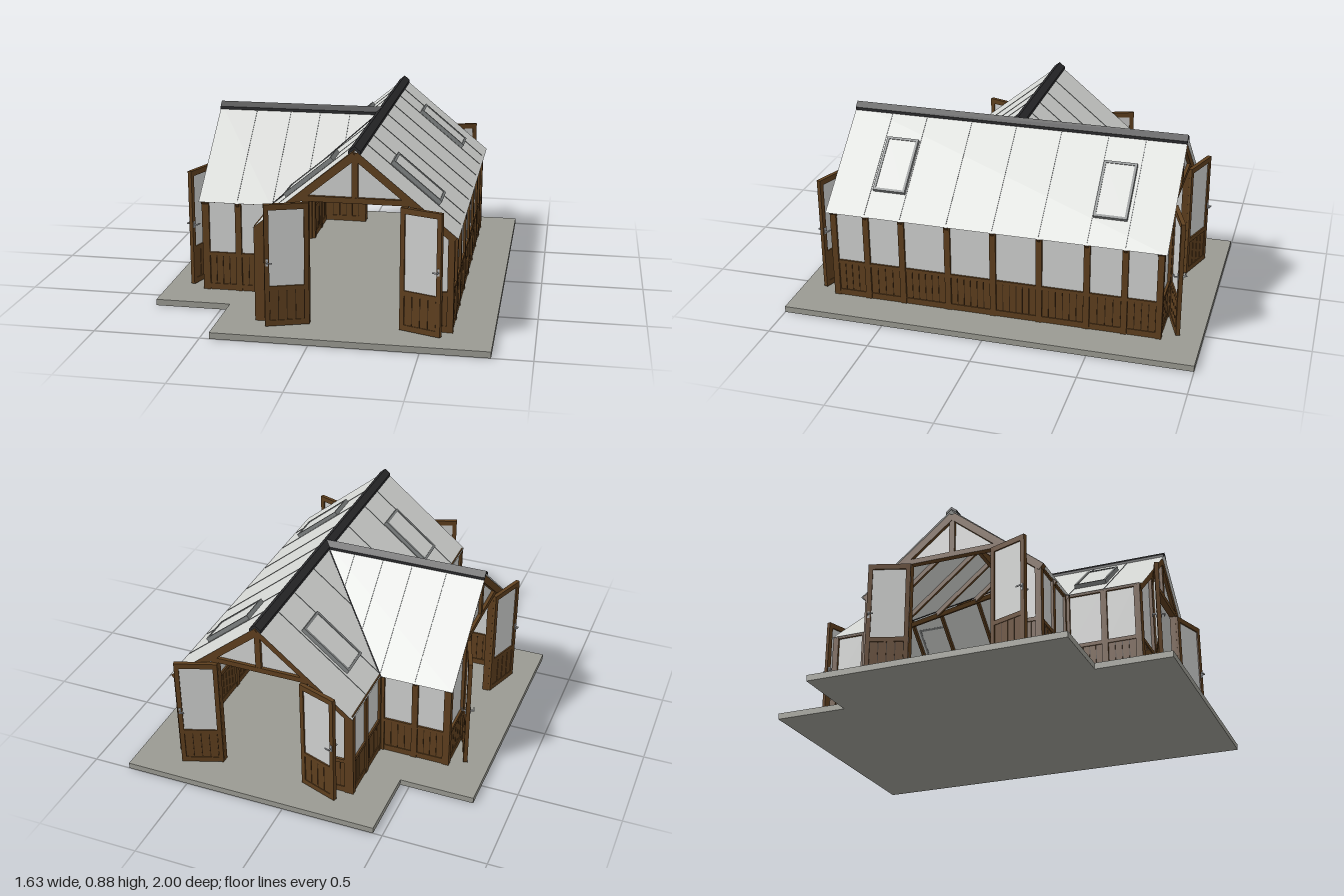
import * as THREE from 'three';

const mat = (name, color, side = THREE.FrontSide) => {
  const m = new THREE.MeshStandardMaterial({ color, side });
  m.name = name;
  return m;
};
const wood = mat('wood', 0x5e3f1e);
const groove = mat('dark groove', 0x342210);
const glass = mat('glass', 0xcfd0cf, THREE.DoubleSide);
const roofGlass = mat('roof glass', 0xd4d6d3, THREE.DoubleSide);
const stone = mat('stone', 0x9a9a92);
const capMat = mat('ridge metal', 0x29292b);
const frameMat = mat('grey frame', 0x808383);
const steel = mat('steel', 0xb4b6b8);

const CX = 0.18, TOP = 0.865, HALF = 0.467, K = (TOP - 0.48) / HALF;
const PITCH = Math.atan(K);
const hMain = (x) => TOP - K * Math.abs(x - CX);
const hWing = (x, z) => TOP - K * Math.abs(z);

function add(parent, name, geo, material) {
  const m = new THREE.Mesh(geo, material);
  m.name = name;
  parent.add(m);
  return m;
}
// Box given by its limits in x and y and its centre and depth in z
function box(parent, name, x0, x1, y0, y1, z, d, material = wood) {
  const m = add(parent, name, new THREE.BoxGeometry(x1 - x0, y1 - y0, d), material);
  m.position.set((x0 + x1) / 2, (y0 + y1) / 2, z);
  return m;
}
// Bar from a to b, w wide and h deep
function bar(parent, name, a, b, w, h, material = wood) {
  const A = new THREE.Vector3(...a), B = new THREE.Vector3(...b);
  const m = new THREE.Mesh(new THREE.BoxGeometry(w, h, A.distanceTo(B)), material);
  m.name = name;
  m.position.copy(A).add(B).multiplyScalar(0.5);
  m.lookAt(B);
  parent.add(m);
  return m;
}
const poly = (pts) => new THREE.Shape(pts.map((p) => new THREE.Vector2(...p)));

// Boarded panel between x0 and x1 with grooves on both faces
function boards(parent, x0, x1, y0, y1, n, d) {
  box(parent, 'panelCore', x0, x1, y0, y1, 0, d * 0.6, groove);
  const w = (x1 - x0) / n;
  for (let i = 0; i < n; i++) box(parent, 'board', x0 + i * w + 0.002, x0 + (i + 1) * w - 0.002, y0, y1, 0, d);
}
// Half-boarded bay with rails
function bay(parent, x0, x1) {
  box(parent, 'bottomRail', x0, x1, 0.03, 0.06, 0, 0.022);
  boards(parent, x0, x1, 0.06, 0.203, Math.max(3, Math.round((x1 - x0) / 0.034)), 0.014);
  box(parent, 'middleRail', x0, x1, 0.203, 0.222, 0, 0.024);
}
// Wall with posts at the given places and glazed bays between them
function wall(name, posts) {
  const g = new THREE.Group();
  g.name = name;
  posts.forEach((p, i) => {
    box(g, 'post', p - 0.015, p + 0.015, 0.03, 0.48, 0, 0.03);
    if (i === 0) return;
    const a = posts[i - 1] + 0.015, b = p - 0.015;
    bay(g, a, b);
    box(g, 'pane', a, b, 0.222, 0.478, 0, 0.006, glass);
  });
  box(g, 'topPlate', posts[0] - 0.015, posts[posts.length - 1] + 0.015, 0.474, 0.488, 0, 0.026);
  return g;
}
// Door leaf running from the hinge at x = 0 towards +x
function door() {
  const g = new THREE.Group();
  g.name = 'door';
  const W = 0.203;
  for (const x of [0, W - 0.022]) box(g, 'stile', x, x + 0.022, 0.035, 0.612, 0, 0.02);
  for (const [a, b] of [[0.035, 0.062], [0.203, 0.226], [0.585, 0.612]]) box(g, 'rail', 0.022, W - 0.022, a, b, 0, 0.02);
  boards(g, 0.022, W - 0.022, 0.062, 0.203, 4, 0.013);
  box(g, 'doorPane', 0.022, W - 0.022, 0.226, 0.585, 0, 0.006, glass);
  for (const s of [-1, 1]) {
    box(g, 'handlePlate', W - 0.016, W - 0.006, 0.325, 0.358, s * 0.0115, 0.003, steel);
    box(g, 'handleStem', W - 0.014, W - 0.008, 0.339, 0.345, s * 0.02, 0.016, steel);
    box(g, 'handleLever', W - 0.034, W - 0.008, 0.339, 0.345, s * 0.028, 0.005, steel);
  }
  return g;
}
// Gable end with an open pair of doors, facing +z
function gable(name) {
  const g = new THREE.Group();
  g.name = name;
  add(g, 'gablePane', new THREE.ShapeGeometry(poly([[-0.26, 0.64], [0.26, 0.64], [0, TOP - 0.01]])), glass);
  for (const s of [-1, 1]) {
    const lo = s < 0 ? -0.435 : 0.215, hi = s < 0 ? -0.215 : 0.435;
    bay(g, lo, hi);
    add(g, 'sidePane', new THREE.ShapeGeometry(
      poly([[s * 0.215, 0.222], [s * 0.44, 0.222], [s * 0.44, 0.49], [s * 0.215, 0.67]])), glass);
    box(g, 'cornerPost', s * 0.435 - 0.015, s * 0.435 + 0.015, 0.03, 0.485, 0, 0.03);
    box(g, 'doorPost', s * 0.225 - 0.015, s * 0.225 + 0.015, 0.03, 0.64, 0, 0.03);
    bar(g, 'rafter', [s * 0.452, 0.469, 0], [0, TOP - 0.028, 0], 0.034, 0.036);
    const d = new THREE.Group();
    d.name = 'openDoor';
    d.add(door());
    // The right leaf swings outwards, the left one mirrors it
    d.position.set(s * 0.21, 0, 0.018);
    d.rotation.y = s > 0 ? -0.34 : Math.PI + 0.34;
    g.add(d);
  }
  box(g, 'header', -0.265, 0.265, 0.615, 0.641, 0, 0.032);
  box(g, 'kingPost', -0.014, 0.014, 0.641, 0.845, 0, 0.03);
  return g;
}
// Flat roof surface over a plan outline, facing up
function roofPlane(parent, name, pts, h) {
  const area = pts.reduce((s, p, i) => {
    const q = pts[(i + 1) % pts.length];
    return s + p[0] * q[1] - q[0] * p[1];
  }, 0);
  const ring = area > 0 ? [...pts].reverse() : pts;
  const geo = new THREE.BufferGeometry();
  geo.setAttribute('position', new THREE.Float32BufferAttribute(ring.flatMap(([x, z]) => [x, h(x, z), z]), 3));
  geo.setIndex([0, 1, 2, 0, 2, 3]);
  geo.computeVertexNormals();
  add(parent, name, geo, roofGlass);
}
// Folded ridge cap running along +z
function ridgeCap(length) {
  const w = 0.028, t = 0.014;
  const s = poly([[-w, -K * w], [0, 0], [w, -K * w], [w, -K * w + t], [0, t], [-w, -K * w + t]]);
  return new THREE.ExtrudeGeometry(s, { depth: length, bevelEnabled: false });
}
// Raised roof window on the slope of side s
function skylight(s, z) {
  const g = new THREE.Group();
  g.name = 'skylight';
  const L = 0.145, W = 0.08, b = 0.012;
  for (const e of [-1, 1]) {
    const end = add(g, 'skylightEnd', new THREE.BoxGeometry(b, 0.022, 2 * W), frameMat);
    end.position.x = e * (L - b / 2);
    const side = add(g, 'skylightSide', new THREE.BoxGeometry(2 * L - 2 * b, 0.022, b), frameMat);
    side.position.z = e * (W - b / 2);
  }
  add(g, 'skylightPane', new THREE.BoxGeometry(2 * (L - b), 0.008, 2 * (W - b)), roofGlass).position.y = 0.003;
  const x = CX + s * 0.245;
  g.position.set(x + s * 0.006, hMain(x) + 0.008, z);
  g.rotation.z = -s * PITCH;
  return g;
}

export function createModel() {
  const model = new THREE.Group();
  model.name = 'gardenRoom';
  const place = (g, x, z, ry) => {
    g.position.set(x, 0, z);
    g.rotation.y = ry;
    model.add(g);
  };

  // Stepped stone base
  const plan = poly([[-0.82, -0.635], [-0.455, -0.635], [-0.455, -1], [0.815, -1], [0.815, 1], [-0.455, 1], [-0.455, 0.635], [-0.82, 0.635]]);
  add(model, 'base', new THREE.ExtrudeGeometry(plan, { depth: 0.03, bevelEnabled: false }), stone).rotation.x = -Math.PI / 2;

  // Long and short walls
  place(wall('longWall', [-0.8, -0.635, -0.455, -0.225, 0, 0.225, 0.455, 0.635, 0.8]), 0.615, 0, Math.PI / 2);
  place(wall('shortWall', [0.45, 0.635, 0.8]), -0.27, 0, -Math.PI / 2);
  place(wall('shortWall', [-0.8, -0.635, -0.45]), -0.27, 0, -Math.PI / 2);
  place(wall('wingWall', [-0.615, -0.455, -0.285]), 0, 0.435, 0);
  place(wall('wingWall', [0.285, 0.455, 0.615]), 0, -0.435, Math.PI);

  // Three gable ends
  place(gable('frontGable'), CX, 0.8, 0);
  place(gable('backGable'), CX, -0.8, Math.PI);
  place(gable('wingGable'), -0.62, 0, -Math.PI / 2);

  // Roof slopes
  const R = CX + HALF, L = CX - HALF, E = 0.83, X = -0.645;
  const roof = new THREE.Group();
  roof.name = 'roof';
  model.add(roof);
  roofPlane(roof, 'longSlope', [[CX, -E], [R, -E], [R, E], [CX, E]], hMain);
  for (const s of [-1, 1]) {
    roofPlane(roof, 'shortSlope', [[CX, s * E], [L, s * E], [L, s * HALF], [CX, 0]], hMain);
    roofPlane(roof, 'wingSlope', [[X, 0], [X, s * HALF], [L, s * HALF], [CX, 0]], hWing);
    bar(roof, 'valleyStrip', [L, 0.481, s * HALF], [CX, TOP + 0.001, 0], 0.006, 0.005, capMat);
    bar(roof, 'valleyRafter', [L + 0.03, 0.48, s * (HALF - 0.03)], [CX, TOP - 0.025, 0], 0.02, 0.022);
    for (const z of [0.46 + 0.08, -0.46 - 0.08]) model.add(skylight(s, z));
  }

  // Rafters below the glass with thin seams above
  const rib = (a, b) => {
    const shift = (p, d) => [p[0], p[1] + d, p[2]];
    bar(roof, 'glazingRafter', shift(a, -0.02), shift(b, -0.02), 0.014, 0.022);
    bar(roof, 'seam', shift(a, 0.001), shift(b, 0.001), 0.003, 0.003, frameMat);
  };
  for (const z of [-0.635, -0.455, -0.225, 0, 0.225, 0.455, 0.635]) {
    rib([R - 0.01, hMain(R - 0.01), z], [CX, TOP, z]);
    const x = Math.max(L + 0.01, CX - Math.abs(z));
    if (z !== 0) rib([x, hMain(x), z], [CX, TOP, z]);
  }
  for (const x of [-0.455, -0.28, -0.13, 0.02]) {
    const z = Math.min(HALF - 0.01, CX - x);
    for (const s of [-1, 1]) rib([x, hWing(x, z), s * z], [x, TOP, 0]);
  }

  // Ridge beams and caps
  bar(roof, 'ridgeBeam', [CX, TOP - 0.04, -0.79], [CX, TOP - 0.04, 0.79], 0.02, 0.04);
  bar(roof, 'wingRidgeBeam', [-0.61, TOP - 0.04, 0], [CX, TOP - 0.04, 0], 0.02, 0.04);
  add(roof, 'ridgeCap', ridgeCap(2 * E), capMat).position.set(CX, TOP + 0.002, -E);
  const wingCap = add(roof, 'wingRidgeCap', ridgeCap(CX - X), capMat);
  wingCap.position.set(X, TOP + 0.002, 0);
  wingCap.rotation.y = Math.PI / 2;
  return model;
}
